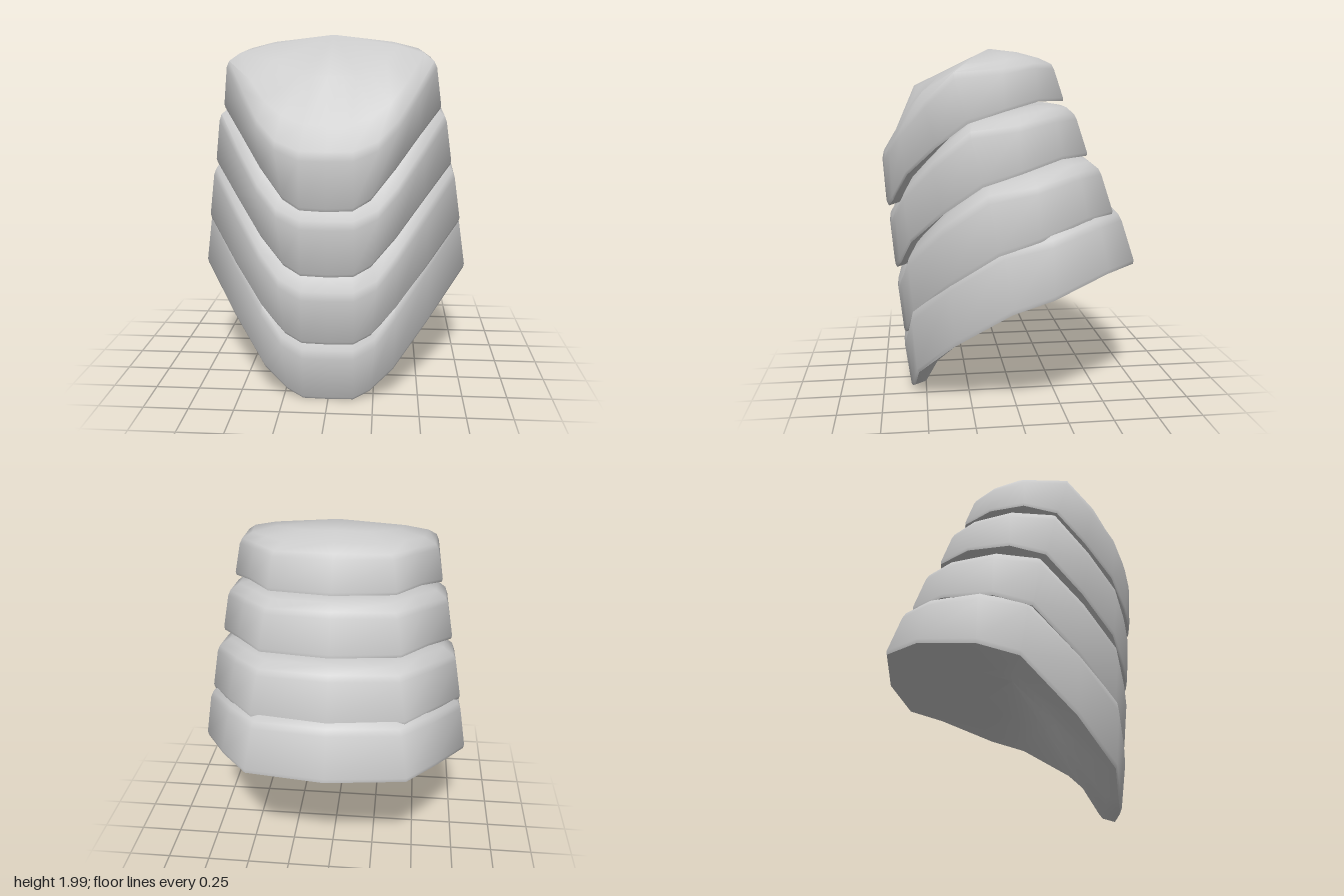
import * as THREE from 'three';
import { toCreasedNormals } from 'three/addons/utils/BufferGeometryUtils.js';

// Half outlines, from front centre round the left side to back centre
const LOW_RIM = [[0, 0, .59], [.14, 0, .585], [.23, .045, .57], [.36, .17, .55], [.56, .39, .35],
  [.785, .63, .06], [.785, .7, -.16], [.61, .79, -.49], [.445, .8, -.68], [0, .8, -.735]];
const LOW_SHOULDER = [[0, .29, .63], [.14, .29, .625], [.26, .36, .61], [.37, .52, .58], [.55, .74, .37],
  [.735, .95, .1], [.735, 1, -.16], [.56, 1.06, -.44], [.4, 1.07, -.6], [0, 1.07, -.64]];
const HIGH_RIM = [[0, 1.1, .71], [.14, 1.105, .7], [.23, 1.155, .67], [.36, 1.31, .59], [.49, 1.47, .43],
  [.605, 1.6, .27], [.6, 1.66, .08], [.48, 1.71, -.12], [.345, 1.71, -.28], [0, 1.71, -.325]];
const HIGH_SHOULDER = [[0, 1.4, .73], [.14, 1.4, .715], [.27, 1.45, .68], [.37, 1.55, .62], [.47, 1.7, .49],
  [.567, 1.85, .34], [.557, 1.87, .08], [.44, 1.9, -.1], [.32, 1.9, -.22], [0, 1.905, -.25]];
// Crown of the top plate, stepping up from a blunt front
const CROWN_OUTER = [[0, 1.54, .645], [.12, 1.545, .635], [.24, 1.59, .61], [.33, 1.66, .575], [.41, 1.76, .495],
  [.505, 1.9, .28], [.48, 1.925, .05], [.38, 1.94, -.06], [.27, 1.94, -.15], [0, 1.95, -.17]];
const CROWN_INNER = [[0, 1.79, .535], [.08, 1.79, .525], [.15, 1.79, .5], [.22, 1.81, .46], [.3, 1.86, .38],
  [.37, 1.94, .22], [.34, 1.96, .07], [.26, 1.97, 0], [.18, 1.975, -.04], [0, 1.98, -.05]];

const mix = (p, q, t) => p.map((v, i) => v + (q[i] - v) * t);
const mixRings = (a, b, t) => a.map((p, i) => mix(p, b[i], t));
// Pull a ring towards a centre point and lift it
const inset = (ring, centre, t, lift) => ring.map((p) => {
  const [x, y, z] = mix(p, centre, t);
  return [x, y + lift, z];
});
const widen = (ring, s) => ring.map(([x, y, z]) => [x * s, y, z]);
const point = (p) => LOW_RIM.map(() => p);
const mirror = (half) => [...half, ...half.slice(1, -1).reverse().map(([x, y, z]) => [-x, y, z])];

// Skin a closed stack of rings; the first and last collapse to a point
function skin(halfRings) {
  const rings = halfRings.map(mirror);
  const n = rings[0].length;
  const positions = [];
  for (let k = 0; k < rings.length - 1; k++) {
    for (let i = 0; i < n; i++) {
      const j = (i + 1) % n;
      const a = rings[k][i], b = rings[k][j], c = rings[k + 1][j], d = rings[k + 1][i];
      if (k > 0) positions.push(...a, ...b, ...c);
      if (k < rings.length - 2) positions.push(...a, ...c, ...d);
    }
  }
  const geometry = new THREE.BufferGeometry();
  geometry.setAttribute('position', new THREE.Float32BufferAttribute(positions, 3));
  return toCreasedNormals(geometry, 1);
}

export function createModel() {
  const model = new THREE.Group();
  model.name = 'layeredShell';
  const material = new THREE.MeshStandardMaterial({ color: 0xcccccc });
  const plates = [['bottomPlate', 0], ['lowerMiddlePlate', .31], ['upperMiddlePlate', .67], ['topPlate', 1]];

  // Each plate blends between the lowest and highest outlines
  for (const [name, t] of plates) {
    const swell = 1 + .08 * t * (1 - t);
    const rim = widen(mixRings(LOW_RIM, HIGH_RIM, t), swell);
    const shoulder = widen(mixRings(LOW_SHOULDER, HIGH_SHOULDER, t), swell);
    const under = mix([0, .7, 0], [0, 1.6, .15], t);
    const over = mix([0, .9, 0], [0, 1.78, .15], t);
    const lip = rim.map(([x, y, z]) => [x * .89, y + .025, z + (under[2] - z) * .13]);

    // Hollow underside, thick lip and outer wall
    const rings = [
      point([0, under[1] + .12, under[2]]),
      inset(rim, under, .55, .04),
      lip,
      inset(rim, under, .012, 0),
      mixRings(rim, shoulder, .08),
      mixRings(rim, shoulder, .9),
    ];
    // Domed crown on the top plate, sloping ledge on the others
    if (t === 1) rings.push(inset(shoulder, over, .02, .01), CROWN_OUTER, CROWN_INNER, point([0, 2, .1]));
    else rings.push(inset(shoulder, over, .015, .01), inset(shoulder, over, .1, .06),
      inset(shoulder, over, .28, .1), point([0, over[1] + .14, over[2]]));

    const plate = new THREE.Mesh(skin(rings), material);
    plate.name = name;
    model.add(plate);
  }
  return model;
}
